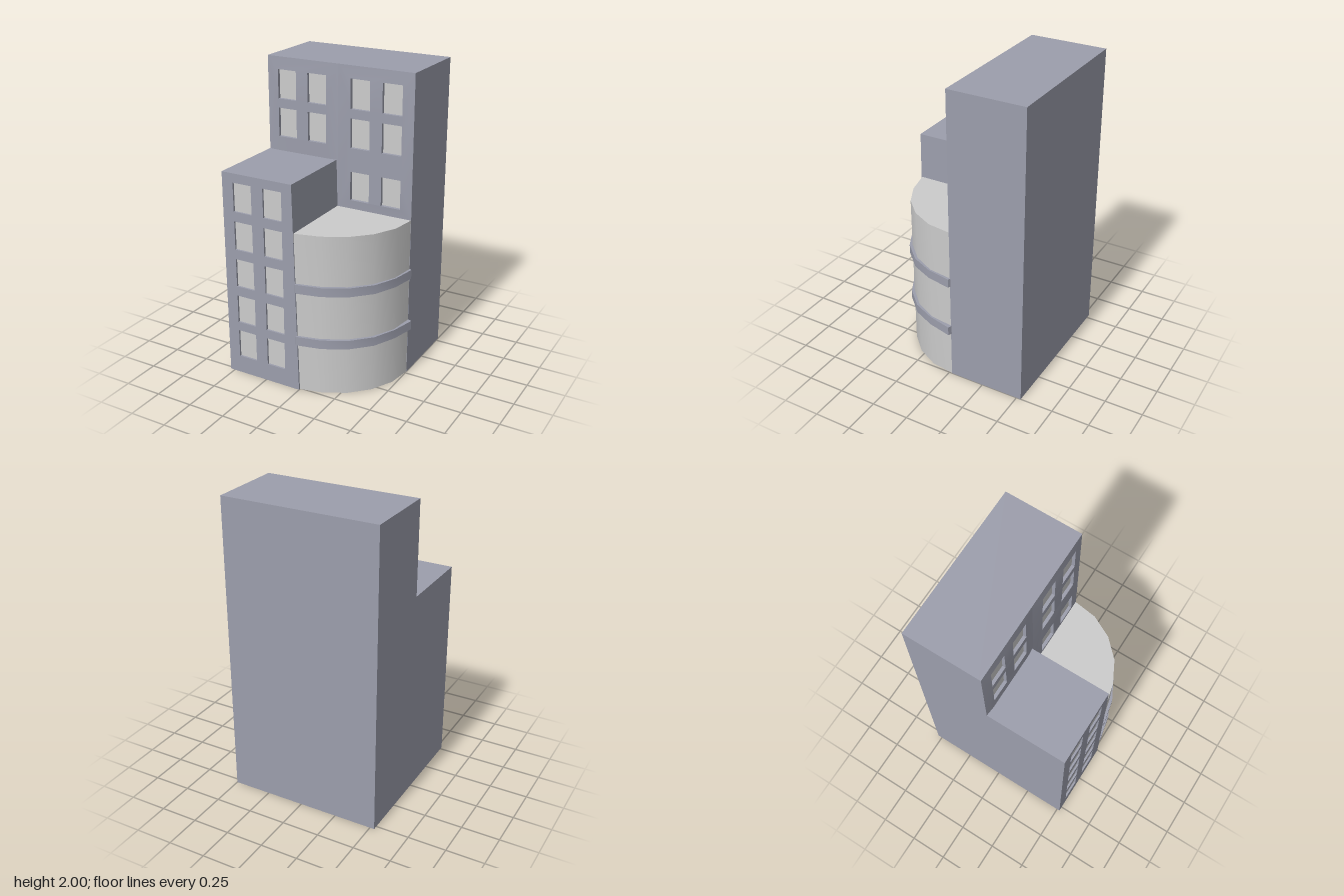
import * as THREE from 'three';
import { toCreasedNormals } from 'three/addons/utils/BufferGeometryUtils.js';

const wallMat = new THREE.MeshStandardMaterial({ color: 0x9c9eac });
const greyMat = new THREE.MeshStandardMaterial({ color: 0xcccccc });

const RECESS = 0.015; // window depth
const PANE_W = 0.133, PANE_H = 0.19;
const LEFT_COLS = [-0.385, -0.168], RIGHT_COLS = [0.14, 0.358];
const LOW_ROWS = [0.215, 0.465, 0.72, 0.975, 1.23];
const TOP_ROWS = [1.575, 1.825];

function add(group, name, geometry, material) {
  const mesh = new THREE.Mesh(geometry, material);
  mesh.name = name;
  group.add(mesh);
  return mesh;
}

// Box given by its minimum and maximum corners
function block(group, name, [x0, y0, z0], [x1, y1, z1]) {
  const geometry = new THREE.BoxGeometry(x1 - x0, y1 - y0, z1 - z0);
  geometry.translate((x0 + x1) / 2, (y0 + y1) / 2, (z0 + z1) / 2);
  return add(group, name, geometry, wallMat);
}

const toShape = (points) => new THREE.Shape(points.map(([x, y]) => new THREE.Vector2(x, y)));

// Wall layer with window openings and panes behind; bulge lifts the opening rims
function facade(name, outline, cols, rows, z, bulge = 0) {
  const group = new THREE.Group();
  group.name = name;
  const shape = toShape(outline);
  for (const x of cols) for (const y of rows) {
    const w = PANE_W / 2, h = PANE_H / 2;
    const hole = toShape([[x - w, y - h], [x - w, y + h], [x + w, y + h], [x + w, y - h]]);
    shape.holes.push(hole);
    const pane = add(group, 'windowPane', new THREE.PlaneGeometry(PANE_W, PANE_H), greyMat);
    pane.position.set(x, y, z - RECESS + 0.002);
  }
  const geometry = new THREE.ExtrudeGeometry(shape, { depth: RECESS, bevelEnabled: false });
  const pos = geometry.attributes.position;
  const onOutline = (i) => outline.some(([x, y]) =>
    Math.hypot(pos.getX(i) - x, pos.getY(i) - y) < 1e-4);
  for (let i = 0; i < pos.count; i++) {
    if (pos.getZ(i) > RECESS / 2 && !onOutline(i)) pos.setZ(i, pos.getZ(i) + bulge);
  }
  geometry.translate(0, 0, z - RECESS);
  add(group, 'windowWall', toCreasedNormals(geometry, 0.6), wallMat);
  return group;
}

// Upright prism from a floor plan of [x, z] points
function prism(plan, y0, y1) {
  const shape = toShape(plan.map(([x, z]) => [x, -z]));
  const geometry = new THREE.ExtrudeGeometry(shape, { depth: y1 - y0, bevelEnabled: false });
  geometry.rotateX(-Math.PI / 2).translate(0, y0, 0);
  return toCreasedNormals(geometry, 0.6);
}

export function createModel() {
  const model = new THREE.Group();
  model.name = 'building';

  // Rear tower
  block(model, 'tower', [-0.53, 0, -0.53], [0.5, 2, -0.02 - RECESS]);
  block(model, 'towerBase', [-0.53, 0, -0.02 - RECESS], [0.5, 1.07, -0.02]);
  model.add(
    facade('towerLeftFacade', [[-0.53, 1.07], [-0.02, 1.07], [-0.02, 2], [-0.53, 2]],
      LEFT_COLS, TOP_ROWS, -0.02, 0.008),
    facade('towerRightFacade', [[-0.02, 1.07], [0.5, 1.07], [0.5, 2], [-0.02, 2]],
      RIGHT_COLS, [1.23, ...TOP_ROWS], -0.02, 0.008));

  // Front wing, leaning slightly on its inner side
  const wing = [[-0.53, 0], [0, 0], [-0.03, 1.385], [-0.53, 1.385]];
  const wingBody = new THREE.ExtrudeGeometry(toShape(wing),
    { depth: 0.55 - RECESS, bevelEnabled: false });
  wingBody.translate(0, 0, -0.03);
  add(model, 'frontWing', wingBody, wallMat);
  model.add(facade('wingFacade', wing, LEFT_COLS, LOW_ROWS, 0.52));

  // Curved corner bay
  const arc = [[-0.025, 0.516], [0.14, 0.475], [0.285, 0.4], [0.4, 0.285], [0.475, 0.14], [0.498, -0.02]];
  add(model, 'cornerBay', prism([[-0.03, -0.02], [-0.03, 0.516], ...arc.slice(1)], 0, 1.075), greyMat);

  // Ledges around the bay
  const rim = [[-0.01, 0.528], [0.15, 0.492], [0.296, 0.416], [0.417, 0.292], [0.485, 0.145]];
  for (const [y, end] of [[0.325, 0.525], [0.685, 0.515]]) {
    const inner = arc.map(([x, z]) => [x - 0.01, z - 0.01]).reverse();
    add(model, 'bayLedge', prism([...rim, [end, -0.015], ...inner], y, y + 0.06), wallMat);
  }

  return model;
}
